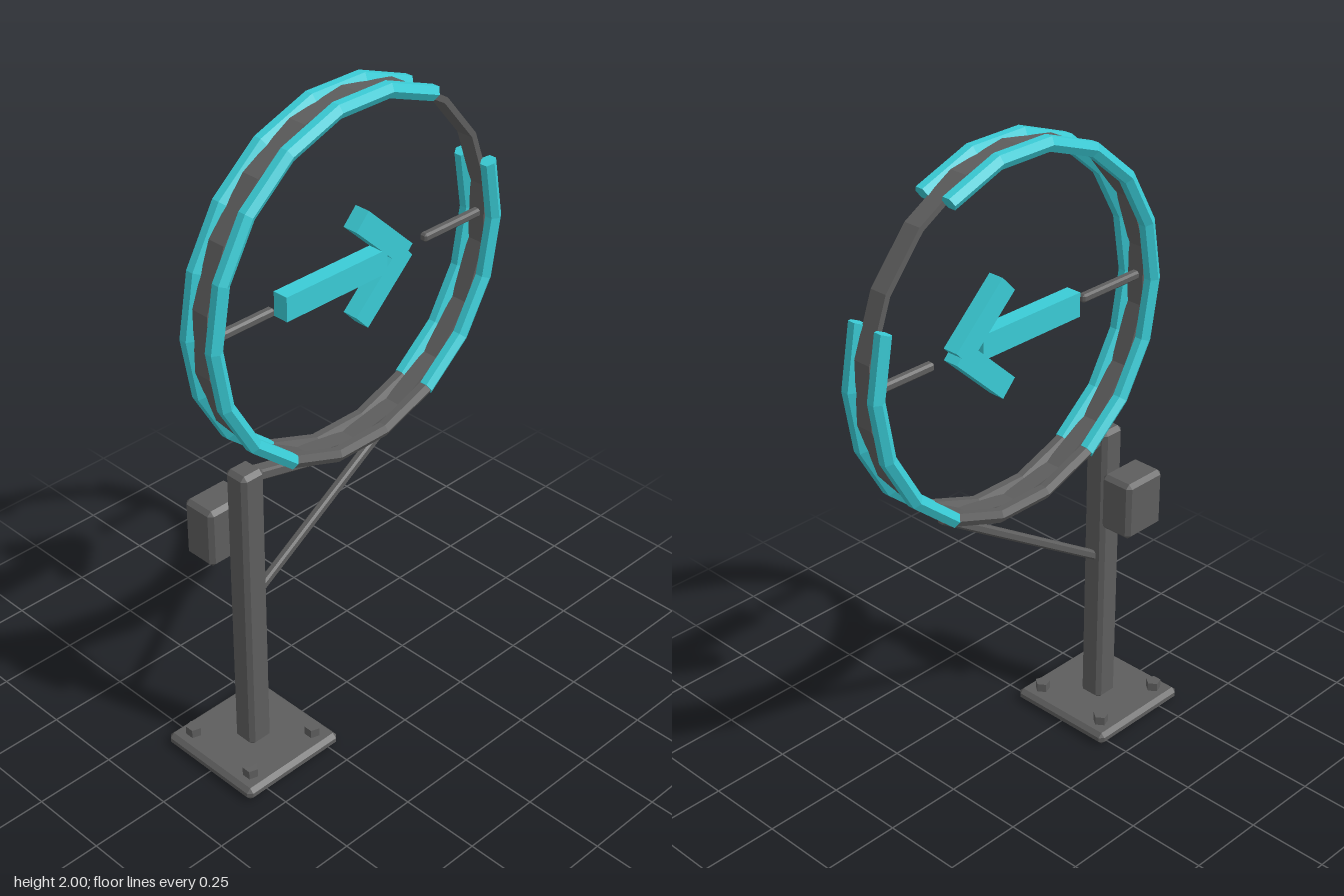
import * as THREE from 'three';
import { ConvexGeometry } from 'three/addons/geometries/ConvexGeometry.js';

const RING = { x: 0.007, y: 1.45, radius: 0.537 };
const rad = THREE.MathUtils.degToRad;

// Box with every edge chamfered by c
function chamferBox(w, h, d, c) {
  const pts = [];
  for (const x of [-1, 1]) for (const y of [-1, 1]) for (const z of [-1, 1]) {
    const [a, b, e] = [w / 2, h / 2, d / 2];
    pts.push(
      new THREE.Vector3(x * a, y * (b - c), z * (e - c)),
      new THREE.Vector3(x * (a - c), y * b, z * (e - c)),
      new THREE.Vector3(x * (a - c), y * (b - c), z * e));
  }
  return new ConvexGeometry(pts);
}

// Straight run of the ring: a profile swept clockwise from the top, 20 degrees per side
function sweep(profile, from, to) {
  const pts = [...profile, profile[0]].map(([r, z]) => new THREE.Vector2(r, z));
  const geo = new THREE.LatheGeometry(pts, Math.round((to - from) / 20), rad(from), rad(to - from));
  return geo.rotateX(-Math.PI / 2);
}

export function createModel() {
  const model = new THREE.Group();
  model.name = 'neonArrowSign';
  const metal = new THREE.MeshStandardMaterial({ color: 0x5e5e5e });
  const neon = new THREE.MeshStandardMaterial({ color: 0x3accd6 });
  metal.name = 'darkMetal';
  neon.name = 'cyanNeon';
  metal.flatShading = neon.flatShading = true;

  function add(name, geo, mat, x = 0, y = 0, z = 0, parent = model) {
    const mesh = new THREE.Mesh(geo, mat);
    mesh.name = name;
    mesh.position.set(x, y, z);
    parent.add(mesh);
    return mesh;
  }

  // Square bar between two points in the z = 0 plane
  function bar(name, x1, y1, x2, y2, thick, depth) {
    const length = Math.hypot(x2 - x1, y2 - y1);
    const mesh = add(name, chamferBox(length, thick, depth, 0.006), metal, (x1 + x2) / 2, (y1 + y2) / 2);
    mesh.rotation.z = Math.atan2(y2 - y1, x2 - x1);
  }

  // Base plate, bolts, post and the control box behind it
  add('basePlate', chamferBox(0.362, 0.04, 0.362, 0.013), metal, -0.395, 0.022);
  for (const x of [-0.52, -0.27]) for (const z of [-0.125, 0.125]) {
    const bolt = new THREE.CylinderGeometry(0.024, 0.024, 0.034, 5).rotateY(Math.PI / 2);
    add('bolt', bolt, metal, x, 0.053, z);
  }
  add('post', chamferBox(0.082, 0.965, 0.08, 0.013), metal, -0.395, 0.517);
  add('controlBox', chamferBox(0.152, 0.187, 0.113, 0.013), metal, -0.415, 0.777, -0.097);

  // Supports from post to ring
  bar('upperArm', -0.37, 0.97, 0.005, 0.88, 0.034, 0.045);
  bar('diagonalStrut', -0.37, 0.555, 0.28, 0.968, 0.028, 0.026);

  // Ring, centred on its own group
  const ring = new THREE.Group();
  ring.name = 'ring';
  ring.position.set(RING.x, RING.y, 0);
  model.add(ring);

  const band = [[0.528, -0.028], [0.546, -0.028], [0.546, 0.028], [0.528, 0.028]];
  add('innerBand', sweep(band, 0, 360), metal, 0, 0, 0, ring);

  // Six-sided tube with closed ends
  function tube(name, mat, from, to, size, z) {
    const profile = [];
    for (let i = 0; i < 6; i++) {
      const a = rad(90 + i * 60);
      profile.push([RING.radius + size * Math.cos(a), size * Math.sin(a)]);
    }
    const group = new THREE.Group();
    group.name = name;
    group.position.z = z;
    ring.add(group);
    add('tubeRun', sweep(profile, from, to), mat, 0, 0, 0, group);
    for (const [angle, side] of [[from, -1], [to, 1]]) {
      const s = Math.sin(rad(angle)), c = Math.cos(rad(angle));
      const cap = new THREE.CircleGeometry(size, 6, Math.PI / 2);
      cap.applyMatrix4(new THREE.Matrix4().makeBasis(
        new THREE.Vector3(s, c, 0),
        new THREE.Vector3(0, 0, side),
        new THREE.Vector3(side * c, -side * s, 0)));
      add('tubeCap', cap, mat, s * RING.radius, c * RING.radius, 0, group);
    }
  }
  for (const z of [-0.049, 0.049]) {
    tube('longNeonTube', neon, -150, 30, 0.0242, z);
    tube('shortNeonTube', neon, 70, 150, 0.0242, z);
    tube('bottomHolder', metal, 150, 210, 0.022, z * 0.95);
  }

  // Rods pointing inwards from the ring
  bar('leftRod', 0.3, RING.y, 0.535, RING.y, 0.026, 0.026);
  bar('rightRod', -0.52, RING.y, -0.28, RING.y, 0.026, 0.026);

  // Arrow: shaft and two mirrored head bars
  add('arrowShaft', new THREE.BoxGeometry(0.382, 0.075, 0.05), neon, -0.059, RING.y);
  for (const side of [-1, 1]) {
    const head = add('arrowHeadBar', new THREE.BoxGeometry(0.24, 0.068, 0.05), neon, 0.122, RING.y + side * 0.075);
    head.rotation.z = -side * rad(43.3);
  }
  return model;
}
